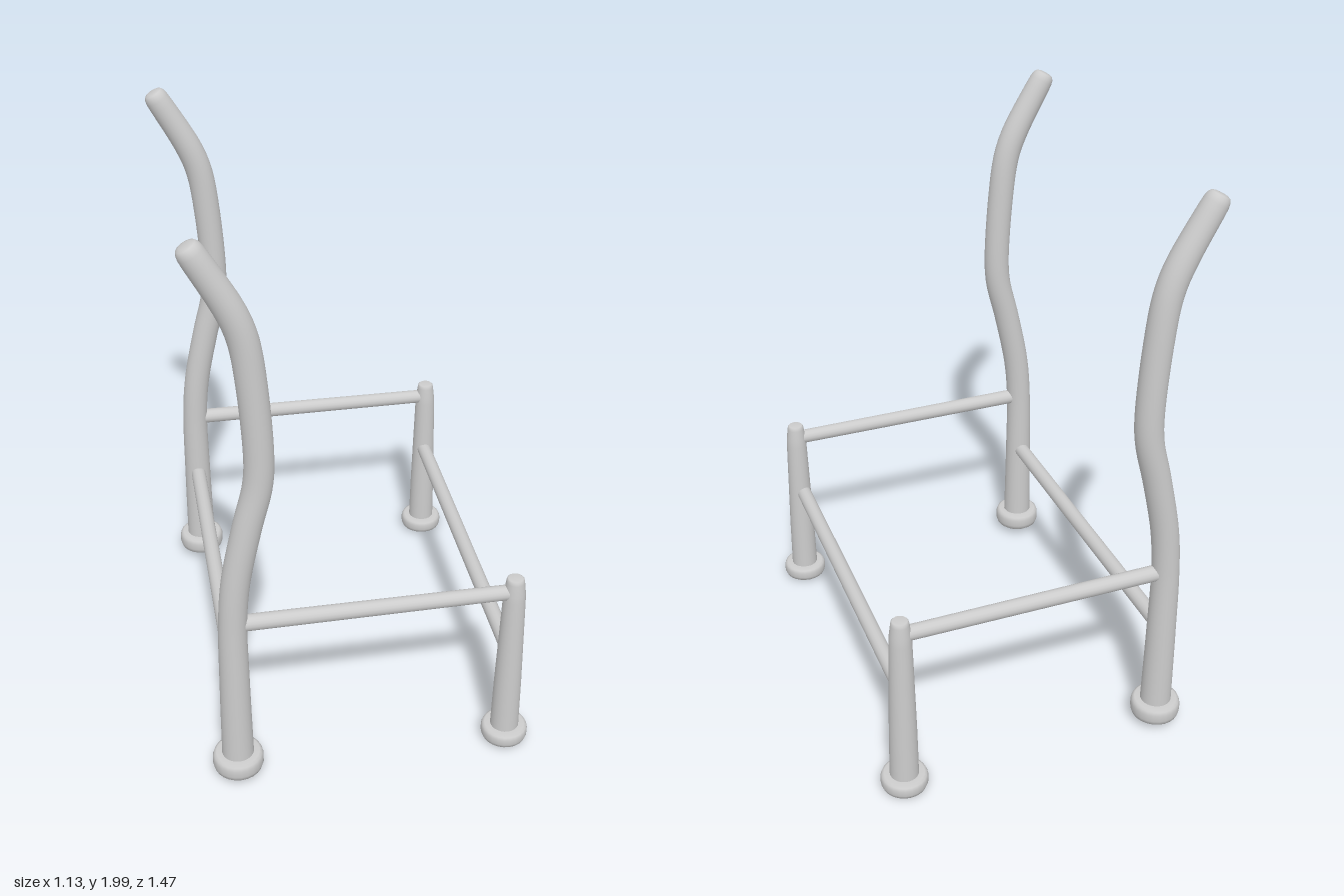
import * as THREE from 'three';
import { mergeVertices } from 'three/addons/utils/BufferGeometryUtils.js';

const SIDES = 24;
const material = new THREE.MeshStandardMaterial({ color: 0xcccccc });

function addMesh(parent, name, geometry) {
  const mesh = new THREE.Mesh(geometry, material);
  mesh.name = name;
  parent.add(mesh);
  return mesh;
}

const lathe = (profile) =>
  new THREE.LatheGeometry(profile.map(([r, y]) => new THREE.Vector2(r, y)), SIDES);

// Rounded rubber foot, resting on y = 0
const foot = (r, h) => lathe([
  [0, 0], [r * 0.72, 0], [r * 0.78, 0.004], [r * 0.94, h * 0.2], [r, h * 0.42], [r, h * 0.75],
  [r * 0.95, h * 0.93], [r * 0.85, h], [r * 0.5, h],
]);

// Straight rail between two points, slightly tapered
function addRail(parent, name, from, to, r0, r1) {
  const a = new THREE.Vector3(...from), b = new THREE.Vector3(...to);
  const dir = b.clone().sub(a);
  const rail = addMesh(parent, name, new THREE.CylinderGeometry(r1, r0, dir.length(), 16));
  rail.position.copy(a).add(b).multiplyScalar(0.5);
  rail.quaternion.setFromUnitVectors(new THREE.Vector3(0, 1, 0), dir.normalize());
}

// Centre line of the curved back posts
const backCurve = new THREE.CatmullRomCurve3([
  [-0.455, 0.05], [-0.455, 0.4], [-0.452, 0.66], [-0.437, 0.82], [-0.393, 1.03], [-0.358, 1.17], [-0.35, 1.26],
  [-0.363, 1.52], [-0.384, 1.68], [-0.415, 1.77], [-0.533, 1.985],
].map(([x, y]) => new THREE.Vector3(x, y, 0)));

// A turned post whose rings are moved onto the centre line
function backPostGeometry() {
  const profile = [];
  for (let i = 0; i <= 60; i++) {
    const u = (i / 60) * 0.97;
    const foot = Math.max(0, 1 - u / 0.3);
    const tip = Math.max(0, (u - 0.88) / 0.09);
    profile.push([0.047 + 0.008 * foot - 0.004 * tip, u]);
  }
  profile.push([0.0415, 0.985], [0.038, 0.993], [0.031, 0.998], [0.02, 1], [0, 1]);
  let geometry = lathe(profile);
  const pos = geometry.attributes.position;
  for (let i = 0; i < pos.count; i++) {
    const u = Math.min(1, Math.max(0, pos.getY(i)));
    const p = backCurve.getPointAt(u), t = backCurve.getTangentAt(u), x = pos.getX(i);
    pos.setXY(i, p.x + x * t.y, p.y - x * t.x);
  }
  geometry.deleteAttribute('uv');
  geometry.deleteAttribute('normal');
  geometry = mergeVertices(geometry, 1e-5);
  geometry.computeVertexNormals();
  return geometry;
}

export function createModel() {
  const model = new THREE.Group();
  model.name = 'chairFrame';

  const backPost = backPostGeometry();
  const backFoot = foot(0.087, 0.075);
  const frontFoot = foot(0.081, 0.06);
  const frontPost = lathe([
    [0.05, 0.03], [0.047, 0.25], [0.041, 0.5], [0.038, 0.62], [0.036, 0.65], [0.031, 0.69],
    [0.029, 0.7], [0.025, 0.704], [0, 0.704],
  ]);

  // One pair of posts with its side rail on each side
  for (const [side, backZ, frontZ] of [['left', 0.65, 0.643], ['right', -0.65, -0.656]]) {
    addMesh(model, side + 'BackPost', backPost).position.z = backZ;
    addMesh(model, side + 'BackFoot', backFoot).position.set(-0.455, 0.025, backZ);
    addMesh(model, side + 'FrontPost', frontPost).position.set(0.488, 0, frontZ);
    addMesh(model, side + 'FrontFoot', frontFoot).position.set(0.488, 0.005, frontZ);
    addRail(model, side + 'SideRail', [-0.45, 0.652, backZ], [0.48, 0.648, frontZ], 0.028, 0.026);
  }

  // Rails joining the two sides
  addRail(model, 'backCrossRail', [-0.455, 0.41, -0.65], [-0.455, 0.41, 0.65], 0.028, 0.028);
  addRail(model, 'frontCrossRail', [0.484, 0.41, -0.65], [0.478, 0.41, 0.64], 0.027, 0.027);
  return model;
}
